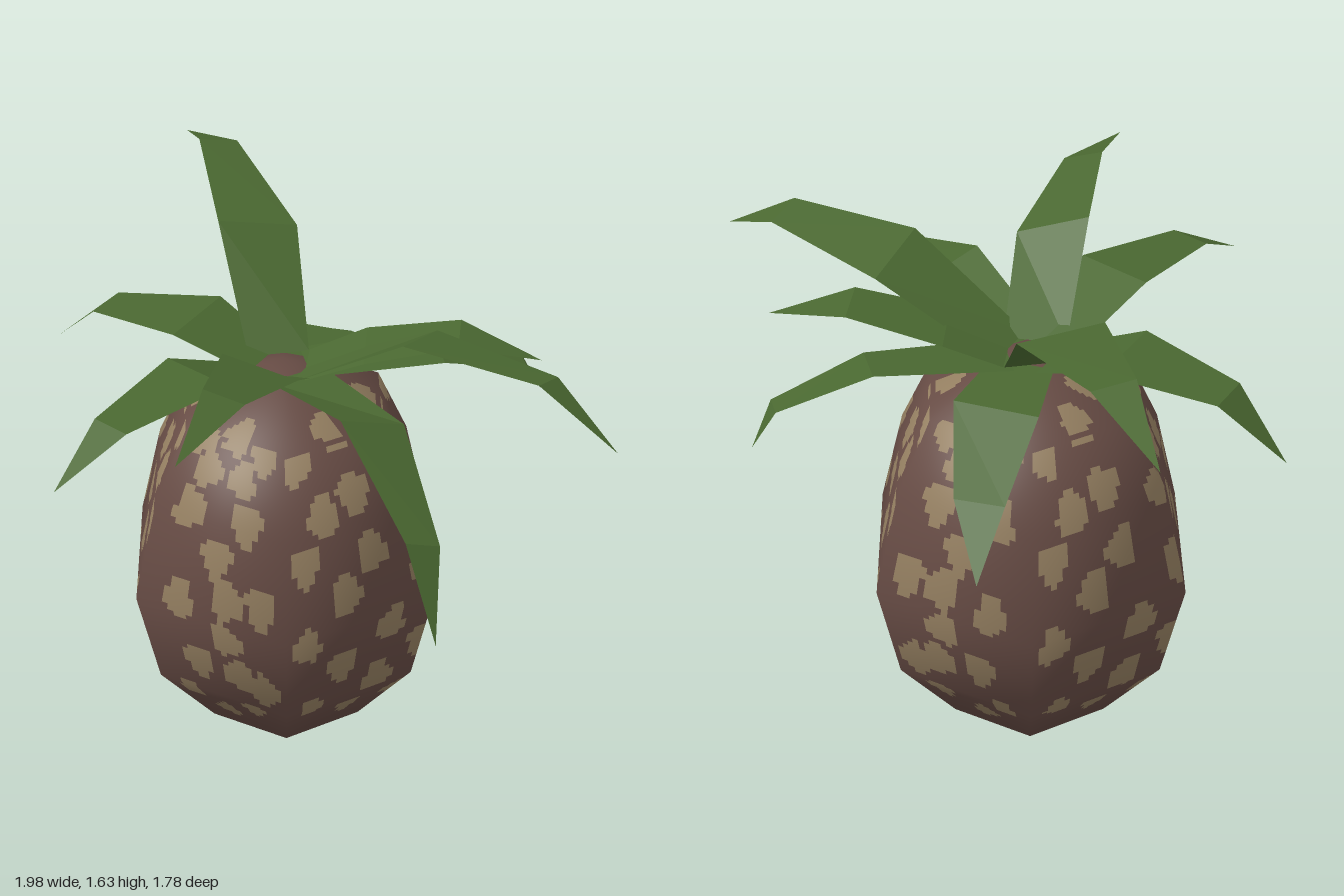
import * as THREE from 'three';

const rind = new THREE.MeshStandardMaterial({ color: 0x664b44 });
rind.name = 'brown rind';
const spot = new THREE.MeshStandardMaterial({ color: 0x937e60 });
spot.name = 'tan spots';
const green = new THREE.MeshStandardMaterial({ color: 0x4a6831, side: THREE.DoubleSide, flatShading: true });
green.name = 'leaf green';

const CENTRE = [-0.16, -0.11];

// Body outline as [radius, height]; the cross-section is a hexagon
const PROFILE = [[0, 0], [0.27, 0.01], [0.46, 0.24], [0.535, 0.56], [0.455, 0.88], [0.345, 1.11], [0.1, 1.22], [0.04, 1.24], [0, 1.24]];

// Spot centres as [position around in hexagon sides, height]
const SIDE_SPOTS = [[0, 0.39], [0, 0.67], [0, 0.91], [0, 1.18], [0, 0.17], [0.37, 0.77], [0.43, 0.96], [0.28, 0.505],
  [0.3, 0.285], [0.43, 0.15], [0.5, 1.14], [0.58, 0.66], [0.6, 0.39], [0.7, 0.92], [0.8, 0.23], [0.85, 0.79], [0.86, 0.52], [0.88, 1.08]];
const FRONT_SPOTS = [[1.5, 0.77], [1.73, 0.61], [1.41, 0.5], [1.64, 0.37], [1.57, 0.13], [1.4, 0.64], [1.17, 0.65],
  [1.34, 0.36], [1.15, 0.33], [1.27, 0.2], [1.78, 0.21], [1.75, 0.9], [1.3, 0.9], [1.37, 1.02], [1.68, 1.02], [1.2, 1.1], [1.5, 1.13], [1.8, 1.11]];
const SPOTS = [...SIDE_SPOTS, ...FRONT_SPOTS, ...SIDE_SPOTS.map(([u, y]) => [3 - u, y])];

function isSpot(u, y, r, slope) {
  const side = u > 3 ? 6 - u : u;
  return SPOTS.some(([su, sy], i) => {
    const size = sy < 0.25 ? 0.75 : sy > 1 ? 0.85 : 1;
    const dx = (side - su) * r / 0.052, dy = (y - sy) * slope / 0.068;
    const wobble = 1 + 0.13 * Math.sin(3 * Math.atan2(dy, dx) + i * 2.1);
    return Math.hypot(dx, dy) < size * wobble;
  });
}

// Point on a hexagon of radius 1, u counted in sides from +x towards +z
function hexPoint(u) {
  const k = Math.floor(u), f = u - k;
  const a = k * Math.PI / 3, b = a + Math.PI / 3;
  return [Math.cos(a) * (1 - f) + Math.cos(b) * f, Math.sin(a) * (1 - f) + Math.sin(b) * f];
}

function makeBody() {
  const around = 144;
  // Smooth outline normals at the rings
  const segs = PROFILE.slice(1).map(([r, y], i) => {
    const dr = r - PROFILE[i][0], dy = y - PROFILE[i][1], len = Math.hypot(dr, dy);
    return { n: [dy / len, -dr / len], len, slope: len / Math.max(Math.abs(dy), 0.001) };
  });
  const ringNormals = PROFILE.map((_, i) => {
    const a = segs[Math.max(i - 1, 0)].n, b = segs[Math.min(i, segs.length - 1)].n;
    return [a[0] + b[0], a[1] + b[1]];
  });
  const rows = [];
  segs.forEach((s, i) => {
    const steps = i === 0 ? 1 : Math.ceil(s.len / 0.02);
    for (let j = 0; j < steps + (i === segs.length - 1 ? 1 : 0); j++) {
      const t = j / steps;
      const mix = (a, b) => [a[0] + (b[0] - a[0]) * t, a[1] + (b[1] - a[1]) * t];
      const [r, y] = mix(PROFILE[i], PROFILE[i + 1]);
      rows.push({ r, y, n: mix(ringNormals[i], ringNormals[i + 1]), slope: s.slope });
    }
  });

  const pos = [], nor = [], plain = [], spotted = [];
  for (const { r, y, n } of rows) {
    for (let j = 0; j <= around; j++) {
      const [hx, hz] = hexPoint(j * 6 / around);
      pos.push(hx * r, y, hz * r);
      const v = new THREE.Vector3(hx * n[0], n[1], hz * n[0]).normalize();
      nor.push(v.x, v.y, v.z);
    }
  }
  // Each small cell goes to the rind or to a spot
  for (let i = 0; i < rows.length - 1; i++) {
    const y = (rows[i].y + rows[i + 1].y) / 2, r = (rows[i].r + rows[i + 1].r) / 2;
    for (let j = 0; j < around; j++) {
      const a = i * (around + 1) + j, b = a + around + 1;
      const list = isSpot((j + 0.5) * 6 / around, y, r, rows[i].slope) ? spotted : plain;
      list.push(a, b, a + 1, a + 1, b, b + 1);
    }
  }
  const geo = new THREE.BufferGeometry();
  geo.setAttribute('position', new THREE.Float32BufferAttribute(pos, 3));
  geo.setAttribute('normal', new THREE.Float32BufferAttribute(nor, 3));
  geo.setIndex([...plain, ...spotted]);
  geo.addGroup(0, plain.length, 0);
  geo.addGroup(plain.length, spotted.length, 1);
  const body = new THREE.Mesh(geo, [rind, spot]);
  body.name = 'fruitBody';
  return body;
}

// Leaves: angles at the first bend and the tip (degrees from +x towards +z),
// reach and height at two bends and the tip, widths at the bends, edge tilt
const LEAVES = [
  { turn: [-131, -136], reach: [0.39, 0.83, 1.125], y: [1.53, 1.62, 1.53], w: [0.25, 0.125], tilt: -0.02 },
  { turn: [70, 77], reach: [0.4, 0.72, 1.02], y: [1.455, 1.535, 1.48], w: [0.22, 0.12], tilt: 0.035 },
  { turn: [-1, 5.5], reach: [0.46, 0.9, 1.155], y: [1.45, 1.455, 1.32], w: [0.235, 0.12], tilt: 0.03 },
  { turn: [-25, -21.7], reach: [0.25, 0.535, 0.785], y: [1.315, 1.375, 1.31], w: [0.23, 0.18], tilt: 0 },
  { turn: [-41, -43], reach: [0.485, 0.77, 0.84], y: [1.255, 1.16, 1.03], w: [0.19, 0.1], tilt: -0.015 },
  { turn: [29.6, 38.5], reach: [0.505, 0.93, 1.125], y: [1.29, 1.135, 0.93], w: [0.22, 0.11], tilt: 0.04 },
  { turn: [103, 103.7], reach: [0.37, 0.725, 0.95], y: [1.37, 1.34, 1.22], w: [0.25, 0.13], tilt: 0 },
  { turn: [180, 180], reach: [0.305, 0.64, 0.83], y: [1.33, 1.29, 1.12], w: [0.285, 0.145], tilt: 0 },
  { turn: [-99.5, -107.4], reach: [0.3, 0.56, 0.735], y: [1.22, 1.07, 0.91], w: [0.26, 0.15], tilt: 0 },
];

function makeLeaf({ turn, reach, y, w, tilt }) {
  const radii = [0.07, ...reach], heights = [1.24, ...y], widths = [0.19, ...w, 0];
  const tilts = [0, tilt, tilt * 0.5, 0];
  const pos = [], index = [];
  radii.forEach((r, i) => {
    const t = Math.max(0, (r - reach[0]) / (reach[2] - reach[0]));
    const a = THREE.MathUtils.degToRad(turn[0] + (turn[1] - turn[0]) * t);
    for (const s of [-1, 1]) {
      const h = s * widths[i] / 2;
      pos.push(Math.cos(a) * r - Math.sin(a) * h, heights[i] + s * tilts[i], Math.sin(a) * r + Math.cos(a) * h);
    }
    const k = i * 2;
    if (i < 2) index.push(k, k + 1, k + 2, k + 1, k + 3, k + 2);
    if (i === 2) index.push(k, k + 1, k + 2);
  });
  const geo = new THREE.BufferGeometry();
  geo.setAttribute('position', new THREE.Float32BufferAttribute(pos, 3));
  geo.setIndex(index);
  geo.computeVertexNormals();
  return new THREE.Mesh(geo, green);
}

export function createModel() {
  const model = new THREE.Group();
  model.name = 'pineapple';
  const crown = new THREE.Group();
  crown.name = 'leafCrown';
  LEAVES.forEach((leaf, i) => {
    const mesh = makeLeaf(leaf);
    mesh.name = `leaf${i + 1}`;
    crown.add(mesh);
  });
  const body = makeBody();
  for (const part of [body, crown]) part.position.set(CENTRE[0], 0, CENTRE[1]);
  model.add(body, crown);
  return model;
}
